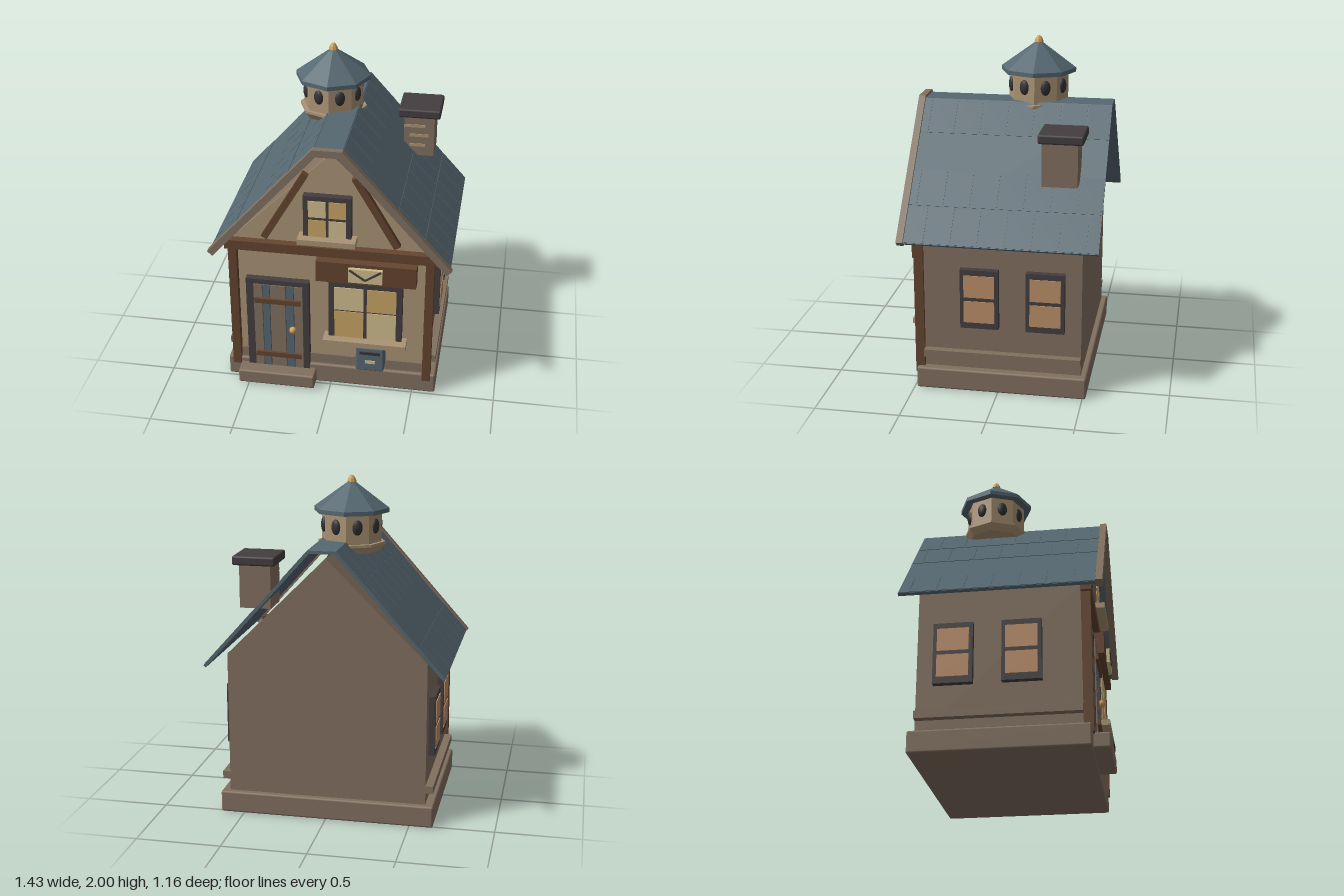
import * as THREE from 'three';
import { RoundedBoxGeometry } from 'three/addons/geometries/RoundedBoxGeometry.js';

const paint = (name, color) => {
  const m = new THREE.MeshStandardMaterial({ color });
  m.name = name;
  return m;
};

export function createModel() {
  const plaster = paint('plaster', 0xac9475);
  const stone = paint('brownStone', 0x82705f);
  const timber = paint('timber', 0x65452f);
  const slate = paint('slateBlue', 0x566871);
  const iron = paint('darkFrame', 0x443e40);
  const cream = paint('creamGlass', 0xd2bd8f);
  const gold = paint('goldGlass', 0xc9a566);
  const peach = paint('peachGlass', 0xbe906a);
  const brass = paint('brass', 0xcf9f5b);
  const black = paint('blackGlass', 0x353436);

  const model = new THREE.Group();
  model.name = 'cottage';

  const add = (name, geo, mat, parent = model) => {
    const m = new THREE.Mesh(geo, mat);
    m.name = name;
    parent.add(m);
    return m;
  };
  const group = (name) => {
    const g = new THREE.Group();
    g.name = name;
    model.add(g);
    return g;
  };
  // Box given by its extents, optionally with softened edges
  const box = (name, mat, x0, x1, y0, y1, z0, z1, parent, r = 0) => {
    const s = [x1 - x0, y1 - y0, z1 - z0];
    const geo = r ? new RoundedBoxGeometry(...s, 2, r) : new THREE.BoxGeometry(...s);
    const m = add(name, geo, mat, parent);
    m.position.set((x0 + x1) / 2, (y0 + y1) / 2, (z0 + z1) / 2);
    return m;
  };
  const prism = (name, mat, pts, z0, z1) => {
    const shape = new THREE.Shape(pts.map(([x, y]) => new THREE.Vector2(x, y)));
    const geo = new THREE.ExtrudeGeometry(shape, { depth: z1 - z0, bevelEnabled: false });
    return add(name, geo.translate(0, 0, z0), mat);
  };
  const facetedLathe = (name, mat, pts, parent) => {
    const geo = new THREE.LatheGeometry(pts.map(([x, y]) => new THREE.Vector2(x, y)), 8).toNonIndexed();
    geo.computeVertexNormals();
    return add(name, geo, mat, parent);
  };

  // Foundation, doorstep and walls
  box('foundation', stone, -0.64, 0.64, 0, 0.13, -0.52, 0.485, model, 0.012);
  box('doorstep', stone, -0.56, -0.09, 0.01, 0.1, 0.4, 0.58, model, 0.012);
  const house = [[-0.59, 0.1], [0.59, 0.1], [0.59, 0.98], [0, 1.57], [-0.59, 0.98]];
  prism('walls', stone, house, -0.485, 0.445);
  prism('frontPlaster', plaster, house, 0.445, 0.453);
  box('frontPlinth', stone, -0.56, 0.56, 0.12, 0.195, 0.45, 0.465);
  for (const s of [-1, 1]) {
    const x = s * 0.61;
    box('sidePlinth', stone, x - 0.025, x + 0.025, 0.2, 0.245, -0.485, 0.44);
  }

  // Timber frame of the front
  for (const s of [-1, 1]) {
    box('cornerPost', timber, s * 0.585 - 0.025, s * 0.585 + 0.025, 0.09, 0.93, 0.44, 0.495);
    const brace = add('gableBrace', new THREE.BoxGeometry(0.04, 0.5, 0.04), timber);
    brace.position.set(s * 0.267, 1.228, 0.47);
    brace.rotation.z = s * 0.523;
  }
  box('crossBeam', timber, -0.63, 0.63, 0.92, 0.98, 0.44, 0.5);

  // Roof and front trim share one bent profile: eave, ridge edge, thickness
  const bent = (x1, y1, x2, y2, t) => {
    const dx = x1 - x2, dy = y2 - y1, len = Math.hypot(dx, dy);
    const k = t * Math.tan(Math.atan2(dy, dx) / 2);
    const right = [[x2, y2], [x1, y1], [x1 - t * dy / len, y1 - t * dx / len], [x2 - k, y2 - t]];
    return [...right, ...right.map(([x, y]) => [-x, y]).reverse()];
  };
  prism('roof', slate, bent(0.705, 0.93, 0.08, 1.63, 0.018), -0.585, 0.535);
  prism('roofTrim', stone, bent(0.715, 0.935, 0.085, 1.645, 0.042), 0.53, 0.57);

  // Shingle rows, nearly flush with the slopes
  const slope = Math.atan2(0.7, 0.625), row = Math.hypot(0.7, 0.625) / 4;
  for (const s of [-1, 1]) {
    const side = group(s > 0 ? 'leftShingles' : 'rightShingles');
    side.position.set(s * 0.08, 1.63, 0);
    side.rotation.z = -s * slope;
    for (const i of s > 0 ? [0, 2, 3] : [0, 1, 3]) {
      for (let z = -0.6 - (i % 2) * 0.07; z < 0.52; z += 0.155) {
        const z0 = Math.max(z, -0.58), z1 = Math.min(z + 0.148, 0.528);
        if (z1 - z0 < 0.02) continue;
        const c = s * (i + 0.5) * row, h = row / 2 - 0.005;
        box('shingle', slate, c - h, c + h, -0.003, 0.003, z0, z1, side);
      }
    }
  }

  // Chimney with cap and mortar strips
  box('chimney', stone, 0.335, 0.52, 1.25, 1.52, -0.44, -0.235);
  box('chimneyCap', iron, 0.3, 0.555, 1.505, 1.56, -0.475, -0.215, model, 0.012);
  for (const [x0, x1, y] of [[0.335, 0.465, 1.447], [0.37, 0.485, 1.385], [0.37, 0.465, 1.32]])
    box('mortarStrip', plaster, x0, x1, y - 0.009, y + 0.009, -0.236, -0.23);

  // Eight-sided roof turret
  const turret = group('turret');
  turret.position.set(-0.08, 0, -0.127);
  facetedLathe('turretBase', plaster, [[0, 1.56], [0.17, 1.56], [0.2, 1.6], [0.2, 1.615], [0, 1.615]], turret);
  facetedLathe('turretDrum', plaster, [[0.178, 1.6], [0.178, 1.79]], turret);
  facetedLathe('turretRoof', slate, [[0, 1.787], [0.224, 1.787], [0.224, 1.812], [0, 1.975]], turret);
  facetedLathe('finial', brass, [[0.015, 1.945], [0.028, 1.96], [0.022, 1.978], [0.012, 1.994], [0, 2]], turret);
  for (let i = 0; i < 8; i++) {
    const a = (i + 0.5) * Math.PI / 4;
    const pane = add('ovalWindow', new THREE.SphereGeometry(1, 14, 10), black, turret);
    pane.scale.set(0.03, 0.045, 0.018);
    pane.position.set(Math.sin(a) * 0.165, 1.713, Math.cos(a) * 0.165);
    pane.rotation.y = a;
  }

  // Front windows: frame, four checkered panes and a sill
  const frontWindow = (name, x0, x1, y0, y1, xs, ys) => {
    const g = group(name);
    box('frame', iron, x0, x1, y0, y1, 0.45, 0.496, g);
    for (let i = 0; i < 2; i++)
      for (let j = 0; j < 2; j++)
        box('pane', i === j ? gold : cream, xs[2 * i], xs[2 * i + 1], ys[2 * j], ys[2 * j + 1], 0.494, 0.501, g);
    box('sill', plaster, x0 - 0.03, x1 + 0.03, y0 - 0.03, y0 + 0.004, 0.45, 0.548, g);
  };
  frontWindow('shopWindow', -0.01, 0.43, 0.36, 0.755, [0.025, 0.2, 0.22, 0.395], [0.367, 0.55, 0.56, 0.717]);
  frontWindow('atticWindow', -0.155, 0.125, 1.048, 1.315, [-0.125, -0.022, -0.006, 0.095], [1.054, 1.162, 1.18, 1.285]);

  // Side windows, two on each side
  for (const s of [-1, 1]) {
    for (const z of [0.108, -0.277]) {
      const g = group('sideWindow');
      g.position.set(s * 0.59, 0, z);
      g.rotation.y = s * Math.PI / 2;
      box('frame', iron, -0.112, 0.112, 0.4, 0.762, -0.01, 0.038, g);
      box('lowerPane', peach, -0.09, 0.09, 0.438, 0.57, 0.036, 0.043, g);
      box('upperPane', peach, -0.09, 0.09, 0.593, 0.728, 0.036, 0.043, g);
    }
  }

  // Plank door with straps and knob
  const door = group('door');
  box('doorFrame', iron, -0.51, -0.13, 0.1, 0.722, 0.45, 0.496, door);
  const edges = [-0.465, -0.41, -0.365, -0.27, -0.22, -0.165];
  for (let i = 0; i < 5; i++)
    box('plank', i % 2 ? slate : stone, edges[i] + 0.002, edges[i + 1] - 0.002, 0.105, 0.69, 0.49, 0.503, door);
  for (const y of [0.195, 0.583])
    box('strap', timber, -0.457, -0.178, y - 0.016, y + 0.016, 0.495, 0.518, door);
  add('knob', new THREE.SphereGeometry(0.022, 16, 12), brass, door).position.set(-0.227, 0.387, 0.512);

  // Sign board with an envelope
  const sign = group('sign');
  box('signBoard', timber, -0.08, 0.51, 0.77, 0.905, 0.45, 0.53, sign);
  box('envelope', cream, 0.115, 0.315, 0.792, 0.884, 0.53, 0.55, sign);
  for (const s of [-1, 1]) {
    const fold = add('envelopeFold', new THREE.BoxGeometry(0.11, 0.012, 0.008), iron, sign);
    fold.position.set(0.215 + s * 0.046, 0.846, 0.552);
    fold.rotation.z = s * 0.6;
  }

  // Mailbox under the window
  const mailbox = group('mailbox');
  box('mailboxBody', slate, 0.162, 0.332, 0.167, 0.335, 0.45, 0.55, mailbox, 0.01);
  box('mailSlot', black, 0.187, 0.31, 0.288, 0.306, 0.548, 0.556, mailbox);
  box('mailLabel', cream, 0.22, 0.28, 0.224, 0.245, 0.548, 0.555, mailbox);

  return model;
}
